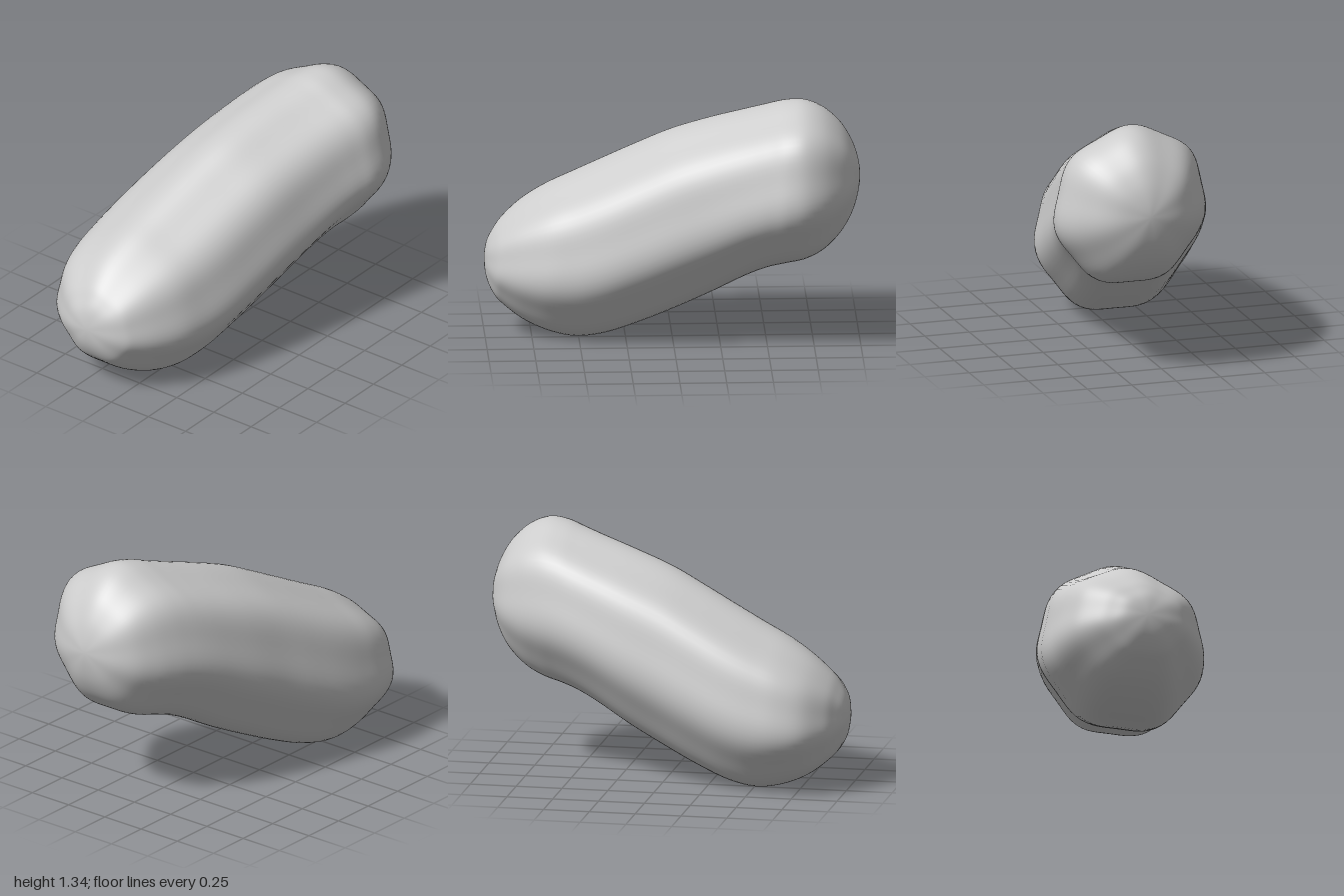
import * as THREE from 'three';

// Cross-sections along the body: x, bottom y, top y, back z, front z
const SECTIONS = [
  [-1.00, 0.39, 0.39, -0.165, -0.165],
  [-0.987, 0.295, 0.49, -0.27, -0.05],
  [-0.95, 0.215, 0.565, -0.35, 0.04],
  [-0.90, 0.16, 0.63, -0.425, 0.095],
  [-0.80, 0.085, 0.72, -0.515, 0.17],
  [-0.67, 0.028, 0.805, -0.555, 0.24],
  [-0.52, 0.00, 0.88, -0.56, 0.287],
  [-0.36, 0.025, 0.96, -0.543, 0.328],
  [-0.18, 0.093, 1.05, -0.505, 0.364],
  [0.00, 0.175, 1.135, -0.46, 0.40],
  [0.20, 0.275, 1.205, -0.415, 0.44],
  [0.38, 0.375, 1.26, -0.366, 0.484],
  [0.50, 0.43, 1.297, -0.33, 0.52],
  [0.60, 0.46, 1.327, -0.295, 0.55],
  [0.70, 0.485, 1.334, -0.255, 0.55],
  [0.80, 0.535, 1.295, -0.205, 0.505],
  [0.89, 0.62, 1.215, -0.14, 0.425],
  [0.95, 0.715, 1.12, -0.06, 0.34],
  [0.985, 0.815, 1.025, 0.03, 0.245],
  [1.00, 0.92, 0.92, 0.14, 0.14],
];
const LAST = SECTIONS.length - 1;
const STEPS = 5;   // rings between neighbouring sections
const SIDES = 84;
const RIDGE = 0.025;   // strength of the seven soft lengthwise ridges

// Section value; past a tip the section is mirrored so the end closes round
function sectionValue(k, column) {
  if (k >= 0 && k <= LAST) return SECTIONS[k][column];
  const opposite = [0, 2, 1, 4, 3][column];
  return SECTIONS[k < 0 ? -k : 2 * LAST - k][opposite];
}

// Catmull-Rom value of one column at a fractional section index
function sample(column, u) {
  const i = Math.min(Math.floor(u), LAST - 1);
  const t = u - i;
  const [a, b, c, d] = [-1, 0, 1, 2].map((k) => sectionValue(i + k, column));
  return b + 0.5 * t * (c - a + t * (2 * a - 5 * b + 4 * c - d + t * (3 * (b - c) + d - a)));
}

// Smooth closed skin: softly seven-sided rings between two pole points
function bodyGeometry() {
  const positions = [];
  const indices = [];
  const rings = LAST * STEPS - 1;
  const [x0, y0, , z0] = SECTIONS[0];
  const [x1, y1, , z1] = SECTIONS[LAST];

  for (let r = 1; r <= rings; r++) {
    const [x, bottom, top, back, front] = [0, 1, 2, 3, 4].map((c) => sample(c, r / STEPS));
    for (let s = 0; s < SIDES; s++) {
      const angle = (s / SIDES) * Math.PI * 2;
      const radius = 1 + RIDGE * Math.cos(7 * angle);
      positions.push(
        x,
        (top + bottom) / 2 + ((top - bottom) / 2) * (radius * Math.cos(angle) - RIDGE),
        (front + back) / 2 + ((front - back) / 2) * radius * Math.sin(angle)
      );
    }
  }
  const startPole = rings * SIDES;
  const endPole = startPole + 1;
  positions.push(x0, y0, z0, x1, y1, z1);

  for (let s = 0; s < SIDES; s++) {
    const n = (s + 1) % SIDES;
    indices.push(startPole, n, s);
    for (let r = 0; r < rings - 1; r++) {
      const a = r * SIDES;
      const b = a + SIDES;
      indices.push(a + s, a + n, b + n, a + s, b + n, b + s);
    }
    const e = (rings - 1) * SIDES;
    indices.push(e + s, e + n, endPole);
  }

  const geometry = new THREE.BufferGeometry();
  geometry.setAttribute('position', new THREE.Float32BufferAttribute(positions, 3));
  geometry.setIndex(indices);
  geometry.computeVertexNormals();
  return geometry;
}

export function createModel() {
  const model = new THREE.Group();
  model.name = 'bentCapsule';
  const body = new THREE.Mesh(bodyGeometry(), new THREE.MeshStandardMaterial({ color: 0xcccccc }));
  body.name = 'body';
  model.add(body);
  return model;
}
